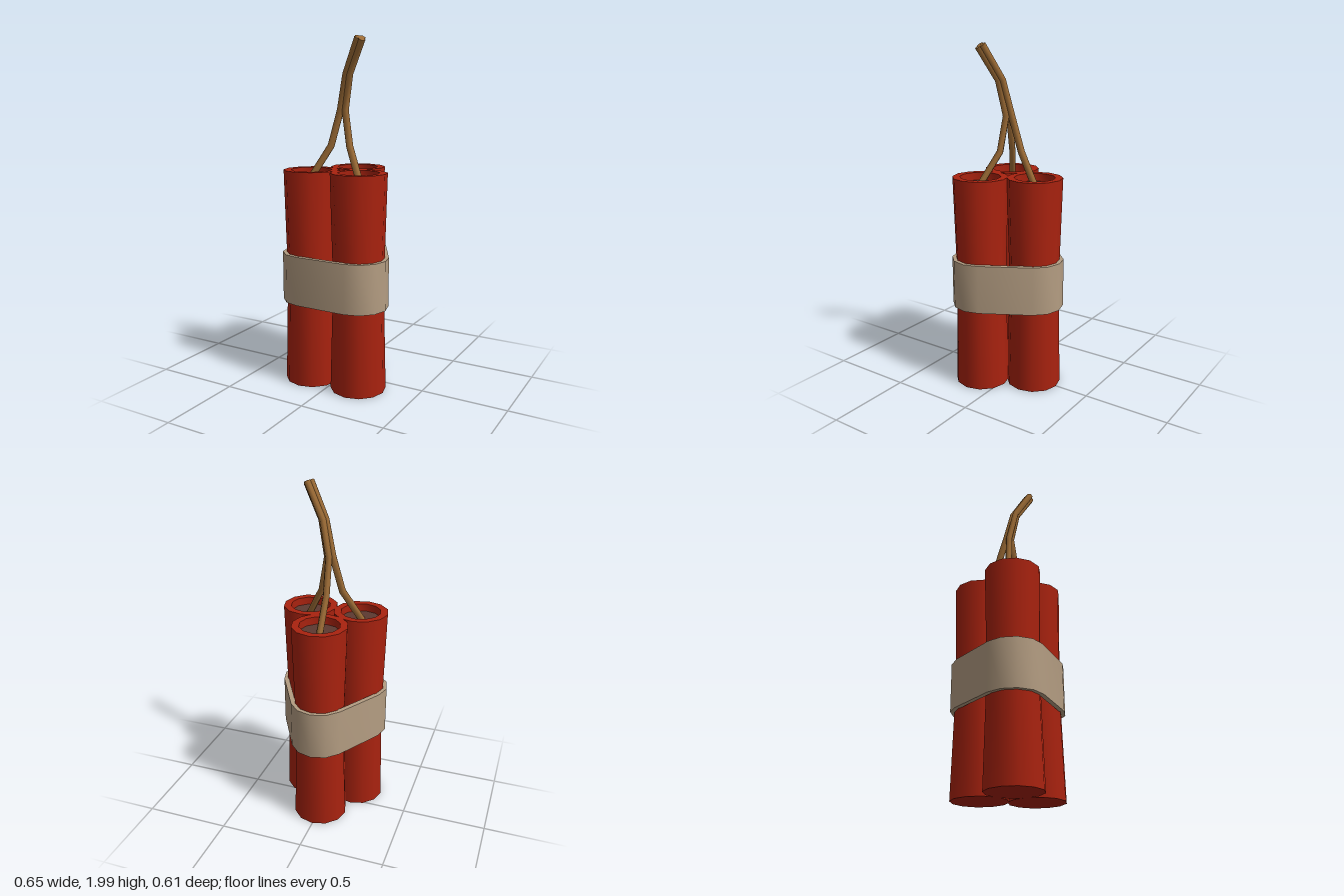
import * as THREE from 'three';
import { toCreasedNormals } from 'three/addons/utils/BufferGeometryUtils.js';

const material = (name, color) => {
  const m = new THREE.MeshStandardMaterial({ color });
  m.name = name;
  return m;
};

export function createModel() {
  const red = material('red paper', 0xa9220f);
  const brown = material('dark brown filling', 0x5d3930);
  const tan = material('tan tape', 0xb49d82);
  const cord = material('brown cord', 0x9a6a35);

  const model = new THREE.Group();
  model.name = 'stickBundle';
  const add = (parent, name, geometry, mat) => {
    const mesh = new THREE.Mesh(geometry, mat);
    mesh.name = name;
    parent.add(mesh);
    return mesh;
  };

  // Stick positions in the xz plane, with the angle each one faces outward
  const sticks = [
    { name: 'back', x: 0.003, z: -0.135, angle: -90 },
    { name: 'left', x: 0.155, z: 0.135, angle: 30 },
    { name: 'right', x: -0.155, z: 0.13, angle: 150 },
  ];

  // Sticks: twelve-sided, pinched under the tape, with a recessed top
  const profile = [[0, 0], [0.16, 0], [0.144, 0.63], [0.16, 1.255], [0.117, 1.255], [0.117, 1.205]]
    .map(([r, y]) => new THREE.Vector2(r, y));
  const stickGeometry = toCreasedNormals(new THREE.LatheGeometry(profile, 12), 0.7);
  const fillGeometry = new THREE.CircleGeometry(0.117, 12).rotateX(-Math.PI / 2);
  for (const s of sticks) {
    const group = new THREE.Group();
    group.name = s.name + 'Stick';
    group.position.set(s.x, 0, s.z);
    add(group, 'paperTube', stickGeometry, red);
    add(group, 'filling', fillGeometry, brown).position.y = 1.21;
    model.add(group);
  }

  // Tape: a hollow loop wrapped around the three sticks
  const outline = (r) => sticks.flatMap((s) => [-60, -30, 0, 30, 60].map((d) => {
    const a = THREE.MathUtils.degToRad(s.angle + d);
    return new THREE.Vector2(s.x + r * Math.cos(a), s.z + r * Math.sin(a));
  }));
  const loop = new THREE.Shape(outline(0.171));
  loop.holes.push(new THREE.Path(outline(0.143)));
  const tape = new THREE.ExtrudeGeometry(loop, { depth: 0.285, bevelEnabled: false });
  tape.rotateX(Math.PI / 2).translate(0, 0.775, 0);
  add(model, 'tapeBand', toCreasedNormals(tape, 0.7), tan);

  // Fuse: one strand from each stick, meeting and rising as a bundle
  const fuse = new THREE.Group();
  fuse.name = 'fuse';
  model.add(fuse);
  const lean = new THREE.Vector3(0.11, 0.18, 0.05).normalize();
  const radius = 0.02;
  for (const s of sticks) {
    const a = THREE.MathUtils.degToRad(s.angle);
    const out = new THREE.Vector3(Math.cos(a), 0, Math.sin(a));
    const near = (x, y, z, d) => new THREE.Vector3(x, y, z).addScaledVector(out, d);
    const tip = near(0.157, 1.977, 0.122, 0.016);
    tip.addScaledVector(lean, -0.016 * out.dot(lean));
    const points = [
      new THREE.Vector3(s.x * 1.05, 1.2, s.z * 1.02),
      near(-0.002, 1.39, 0.03, 0.07),
      near(0.005, 1.59, 0.04, 0.018),
      near(0.05, 1.79, 0.066, 0.013),
      tip,
    ];
    // One ring per point keeps the bends angular
    const curve = new THREE.CatmullRomCurve3(points);
    curve.getPointAt = (t, target) => curve.getPoint(t, target);
    curve.getTangentAt = (t, target) => curve.getTangent(t, target);
    add(fuse, s.name + 'Strand', new THREE.TubeGeometry(curve, points.length - 1, radius, 6), cord);
    const cap = add(fuse, s.name + 'StrandEnd', new THREE.CircleGeometry(radius, 6), cord);
    cap.position.copy(tip);
    cap.lookAt(tip.clone().add(curve.getTangent(1)));
  }
  return model;
}
